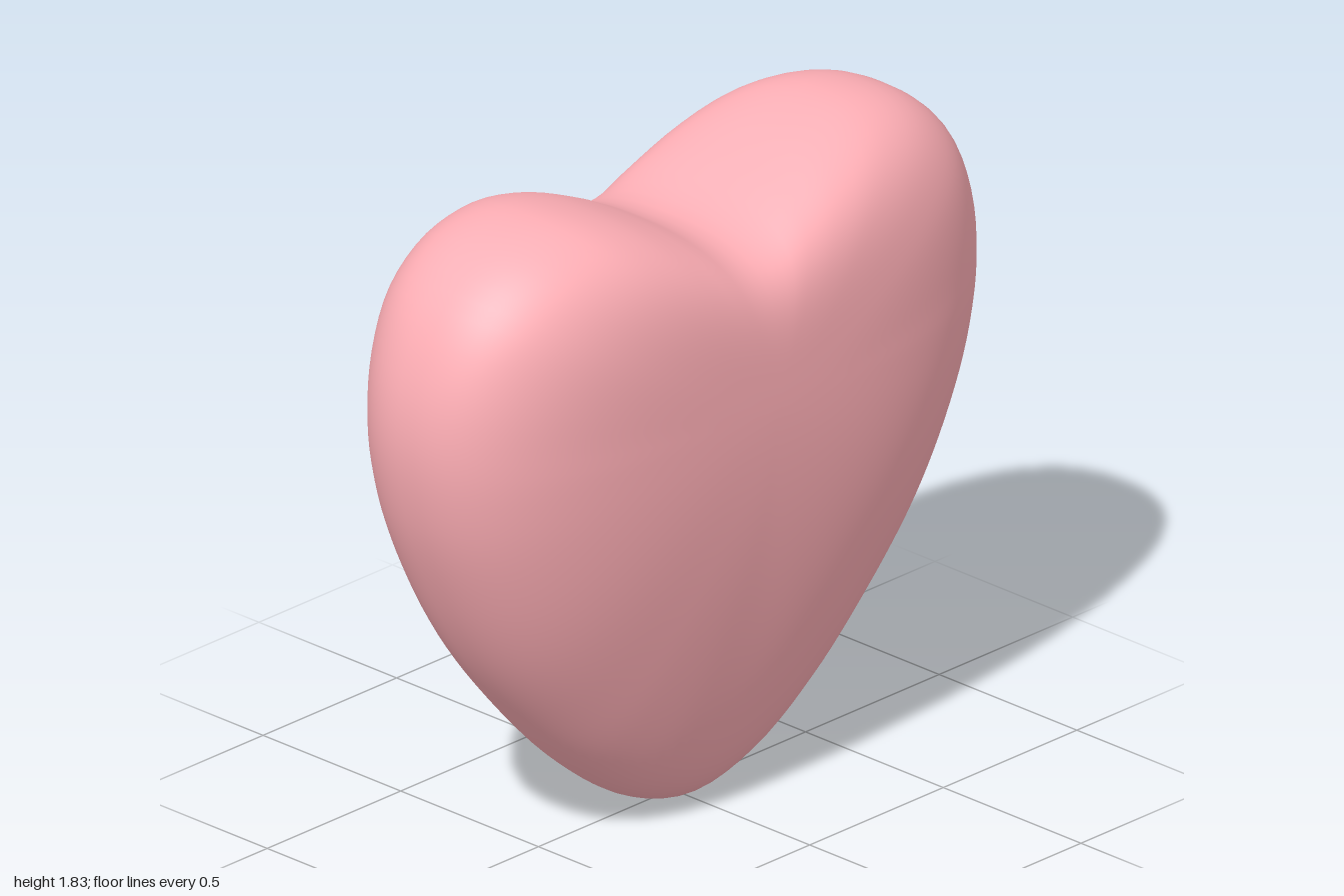
import * as THREE from 'three';
import { mergeVertices } from 'three/addons/utils/BufferGeometryUtils.js';

// Right half of the heart outline, from the bottom tip up to the notch
const HALF = [
  [0.2, 0.055], [0.4, 0.2], [0.59, 0.4], [0.75, 0.61], [0.875, 0.84], [0.965, 1.08],
  [1, 1.31], [0.975, 1.5], [0.89, 1.68], [0.75, 1.79], [0.56, 1.83], [0.38, 1.8], [0.2, 1.725], [0.09, 1.668],
];
const CENTRE_Y = 1.2;
const DEPTH = 0.389;
const { smoothstep } = THREE.MathUtils;

function heartOutline() {
  const right = HALF.map(([x, y]) => new THREE.Vector3(x, y, 0));
  const left = HALF.map(([x, y]) => new THREE.Vector3(-x, y, 0)).reverse();
  return new THREE.CatmullRomCurve3(
    [new THREE.Vector3(0, 0, 0), ...right, new THREE.Vector3(0, 1.65, 0), ...left], true, 'centripetal');
}

// Sphere grid reshaped: each ring is the outline scaled towards the centre, puffed out in z
function puffedHeart() {
  const segments = 128;
  const geometry = new THREE.SphereGeometry(1, segments, 80);
  const outline = heartOutline();
  outline.arcLengthDivisions = 1000;
  const rim = Array.from({ length: segments }, (_, i) => outline.getPointAt(i / segments));
  const { position, uv } = geometry.attributes;
  for (let i = 0; i < position.count; i++) {
    const edge = rim[(i % (segments + 1)) % segments];
    const phi = (1 - uv.getY(i)) * Math.PI;
    const s = Math.sin(phi);
    // The notch fades out on the inner rings, so its valley is soft
    const fill = edge.y > CENTRE_Y ? 0.14 * (1 - s) * Math.exp(-((edge.x / 0.25) ** 2)) : 0;
    const y = CENTRE_Y + (edge.y + fill - CENTRE_Y) * s;
    // Broad flat faces with a rounded rim, fullest on the lobes and lower flanks
    const lobe = smoothstep(edge.y, 1.3, 1.7);
    const flank = smoothstep(Math.abs(edge.x), 0, 0.5) * (1 - smoothstep(edge.y, 0.4, 1.2));
    const power = 3.3 + 0.6 * lobe + 0.9 * flank;
    const puff = Math.pow(Math.max(0, 1 - Math.pow(s, power)), 0.42);
    // The whole body thins evenly towards the tip
    const taper = 0.7 + 0.3 * smoothstep(y, 0, 1.25);
    position.setXYZ(i, edge.x * s, y, DEPTH * taper * puff * Math.sign(Math.cos(phi)));
  }
  geometry.deleteAttribute('uv');
  geometry.deleteAttribute('normal');
  const welded = mergeVertices(geometry, 1e-5);
  welded.computeVertexNormals();
  return welded;
}

export function createModel() {
  const group = new THREE.Group();
  group.name = 'heartModel';
  const heart = new THREE.Mesh(puffedHeart(), new THREE.MeshStandardMaterial({ color: 0xffafb6 }));
  heart.name = 'heart';
  group.add(heart);
  return group;
}
